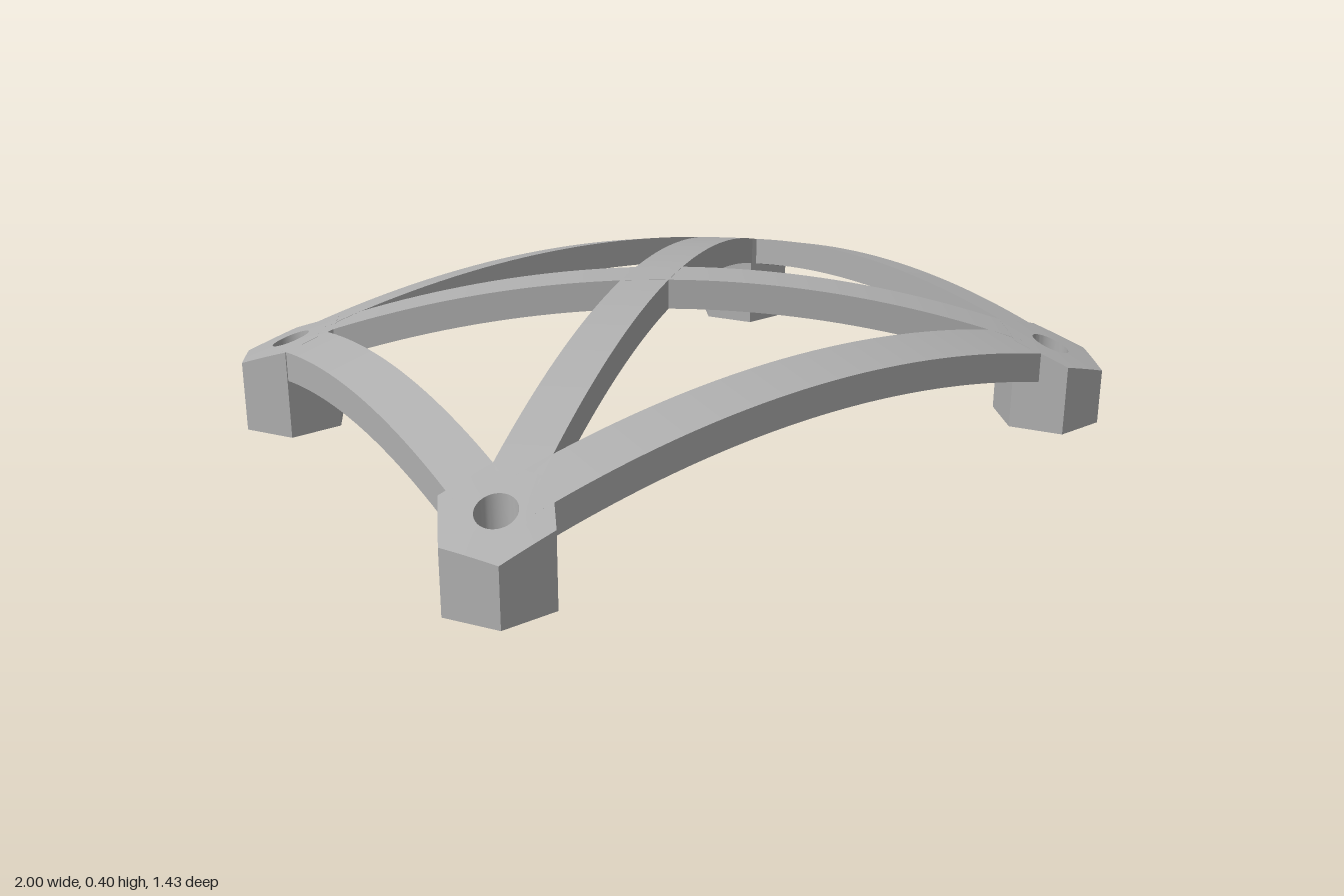
import * as THREE from 'three';
import { toCreasedNormals } from 'three/addons/utils/BufferGeometryUtils.js';

const HEX_APOTHEM = 0.1215, HOLE_RADIUS = 0.048;
const BAR_WIDTH = 0.118, BAR_DEPTH = 0.079;

// Height of the shallow dome that every top face follows
const dome = (x, z) => 0.405 - (x * x) / 6.1 - (z * z) / 4.4;

// Skin closed rings of points, row by row
function loft(rows) {
  const pos = [];
  for (let i = 0; i < rows.length - 1; i++) {
    const m = rows[i].length;
    for (let j = 0; j < m; j++) {
      const k = (j + 1) % m;
      const a = rows[i][j], b = rows[i][k], c = rows[i + 1][k], d = rows[i + 1][j];
      pos.push(...a, ...b, ...c, ...a, ...c, ...d);
    }
  }
  const geo = new THREE.BufferGeometry();
  geo.setAttribute('position', new THREE.Float32BufferAttribute(pos, 3));
  return toCreasedNormals(geo, 0.5);
}

// Hexagonal post with a vertical through-hole and a domed top
function postGeometry([cx, cz]) {
  const rows = [], sides = 48;
  for (let i = 0; i <= sides; i++) {
    const t = ((i % sides) / sides) * Math.PI * 2;
    const within = ((i % (sides / 6)) / sides) * Math.PI * 2;
    const outer = HEX_APOTHEM / Math.cos(within - Math.PI / 6);
    const at = (r, top) => {
      const x = cx + r * Math.cos(t), z = cz + r * Math.sin(t);
      return [x, top ? dome(x, z) : 0, z];
    };
    rows.push([
      at(outer, true), at((outer + HOLE_RADIUS) / 2, true), at(HOLE_RADIUS, true),
      at(HOLE_RADIUS, false), at(outer, false),
    ]);
  }
  return loft(rows);
}

// Arched bar between two posts, stopping just short of their holes
function barGeometry([ax, az], [bx, bz]) {
  const length = Math.hypot(bx - ax, bz - az);
  const dx = (bx - ax) / length, dz = (bz - az) / length;
  const trim = HOLE_RADIUS + 0.01, steps = 48, rows = [];
  for (let i = 0; i <= steps; i++) {
    const s = trim + (length - 2 * trim) * (i / steps);
    const at = (side, drop) => {
      const x = ax + dx * s - (dz * side * BAR_WIDTH) / 2;
      const z = az + dz * s + (dx * side * BAR_WIDTH) / 2;
      return [x, dome(x, z) - drop, z];
    };
    rows.push([at(-1, 0), at(1, 0), at(1, BAR_DEPTH), at(-1, BAR_DEPTH)]);
  }
  return loft(rows);
}

export function createModel() {
  const model = new THREE.Group();
  model.name = 'archedBracket';
  const grey = new THREE.MeshStandardMaterial({ color: 0xb0b0b0 });
  grey.name = 'grey';

  const add = (name, geometry) => {
    const mesh = new THREE.Mesh(geometry, grey);
    mesh.name = name;
    model.add(mesh);
  };

  // Post centres as [x, z]
  const posts = {
    frontLeft: [0.86, 0.591],
    frontRight: [-0.86, 0.591],
    rearLeft: [0.775, -0.593],
    rearRight: [-0.775, -0.593],
  };
  for (const [name, centre] of Object.entries(posts)) add(name + 'Post', postGeometry(centre));

  // Four edge bars and two crossing diagonals
  const bars = [
    ['frontBar', 'frontLeft', 'frontRight'],
    ['rearBar', 'rearLeft', 'rearRight'],
    ['leftBar', 'frontLeft', 'rearLeft'],
    ['rightBar', 'frontRight', 'rearRight'],
    ['diagonalBarA', 'frontLeft', 'rearRight'],
    ['diagonalBarB', 'frontRight', 'rearLeft'],
  ];
  for (const [name, from, to] of bars) add(name, barGeometry(posts[from], posts[to]));

  return model;
}
